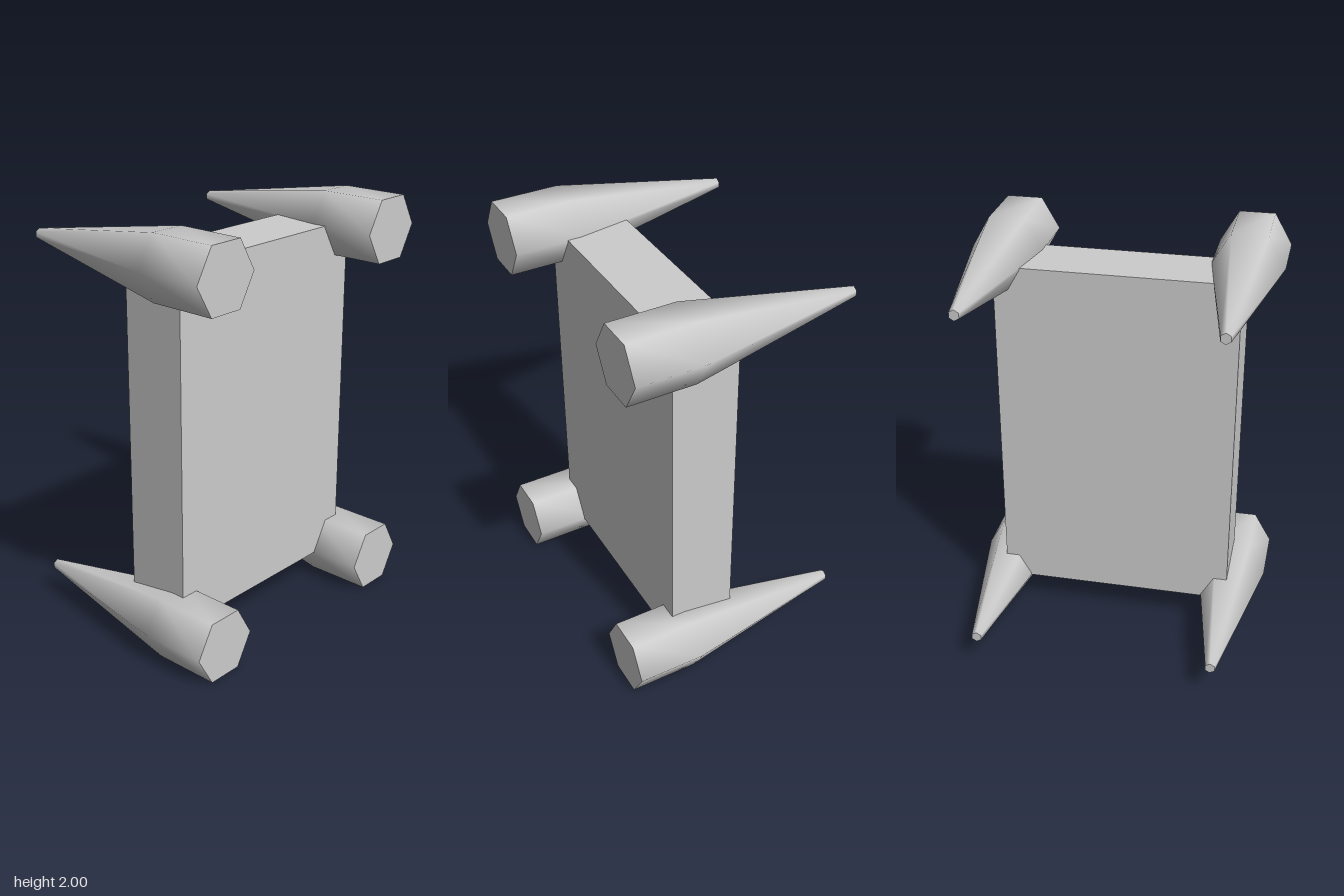
import * as THREE from 'three';
import { toCreasedNormals } from 'three/addons/utils/BufferGeometryUtils.js';

const RADIUS = 0.172, TIP_RADIUS = 0.026, LENGTH = 1.14, SHOULDER = 0.325;

// Hexagonal prism tapering to a small tip that is turned by half a side
function podGeometry() {
  const geo = new THREE.CylinderGeometry(TIP_RADIUS, RADIUS, LENGTH, 6, 2, false, Math.PI / 6);
  const pos = geo.attributes.position;
  const v = new THREE.Vector3(), up = new THREE.Vector3(0, 1, 0);
  for (let i = 0; i < pos.count; i++) {
    v.fromBufferAttribute(pos, i);
    if (Math.abs(v.y) < 0.01) {
      // middle ring becomes the full-width shoulder
      const s = RADIUS / Math.hypot(v.x, v.z);
      v.set(v.x * s, -LENGTH / 2 + SHOULDER, v.z * s);
    } else if (v.y > 0) {
      v.applyAxisAngle(up, -Math.PI / 6);
    }
    pos.setXYZ(i, v.x, v.y, v.z);
  }
  geo.rotateX(-Math.PI / 2); // tip points to the back
  return toCreasedNormals(geo, 1.2);
}

export function createModel() {
  const model = new THREE.Group();
  model.name = 'model';
  const material = new THREE.MeshStandardMaterial({ color: 0xcccccc });

  // Upright slab
  const body = new THREE.Mesh(new THREE.BoxGeometry(1.152, 1.71, 0.322), material);
  body.name = 'body';
  body.position.set(0, 1, 0.154);
  model.add(body);

  // Tapered pod on each corner
  const geo = podGeometry();
  for (const [side, x] of [['left', 0.573], ['right', -0.573]]) {
    for (const [level, y] of [['Lower', 0.149], ['Upper', 1.851]]) {
      const pod = new THREE.Mesh(geo, material);
      pod.name = `${side}${level}Pod`;
      pod.position.set(x, y, 0);
      model.add(pod);
    }
  }
  return model;
}
